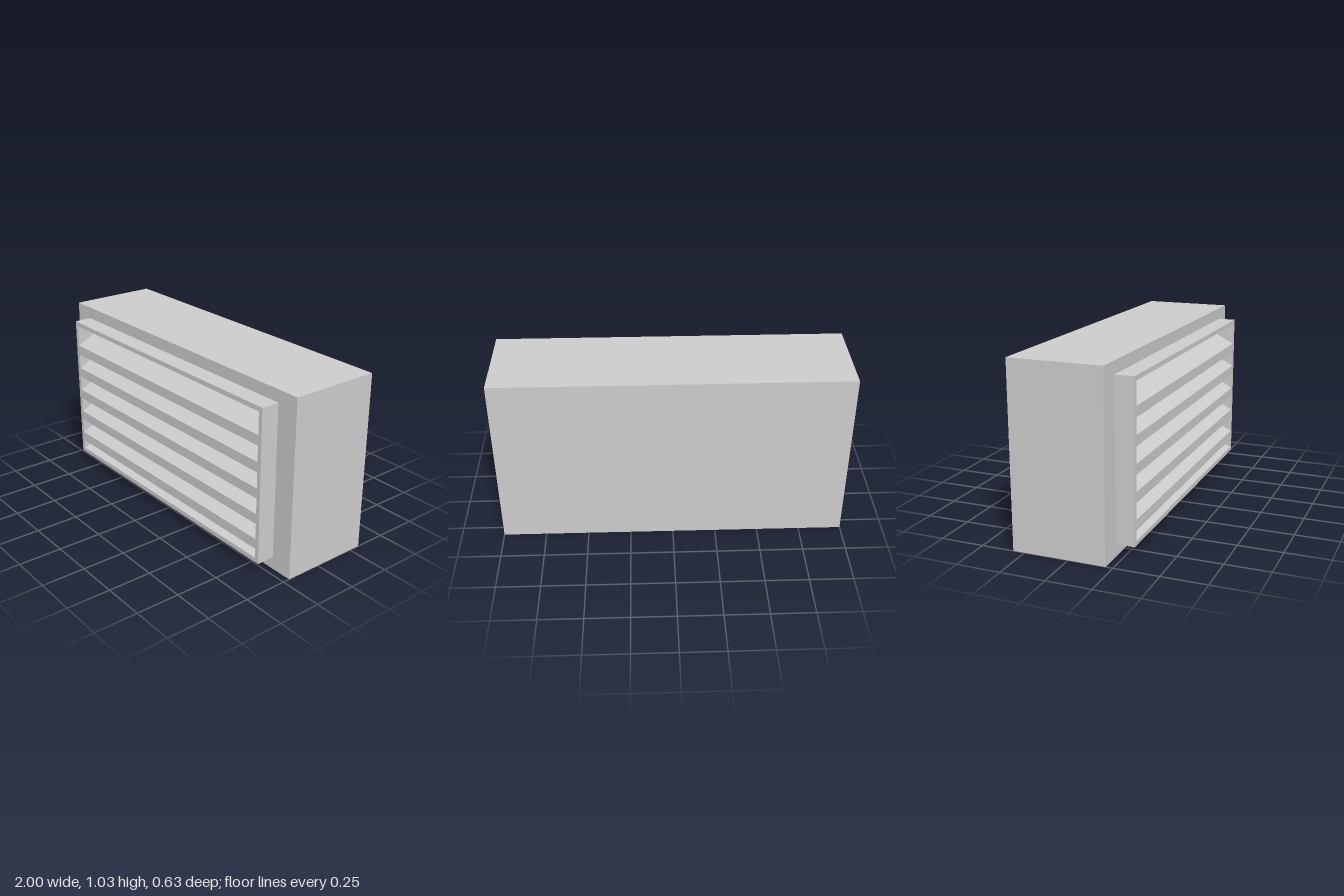
import * as THREE from 'three';

const FRONT = 0.315, CASE_FRONT = 0.21, RECESS = 0.145, BACK = -0.315;
const OPEN = { w: 1.69, y0: 0.097, y1: 0.933 };

function addRect(path, w, y0, y1) {
  path.moveTo(-w / 2, y0);
  path.lineTo(w / 2, y0);
  path.lineTo(w / 2, y1);
  path.lineTo(-w / 2, y1);
  path.closePath();
  return path;
}

export function createModel() {
  const group = new THREE.Group();
  const material = new THREE.MeshStandardMaterial({ color: 0xcccccc, flatShading: true });

  const add = (name, geometry) => {
    const mesh = new THREE.Mesh(geometry, material);
    mesh.name = name;
    group.add(mesh);
    return mesh;
  };

  // Rectangular frame around the louver opening, between two depths
  const addFrame = (name, w, y0, y1, z0, z1) => {
    const shape = addRect(new THREE.Shape(), w, y0, y1);
    shape.holes.push(addRect(new THREE.Path(), OPEN.w, OPEN.y0, OPEN.y1));
    const geometry = new THREE.ExtrudeGeometry(shape, { depth: z1 - z0, bevelEnabled: false });
    add(name, geometry.translate(0, 0, z0));
  };

  // Side profile of [z, y] points, swept across the opening
  const addSlat = (name, points) => {
    const shape = new THREE.Shape(points.map(([z, y]) => new THREE.Vector2(-z, y)));
    const geometry = new THREE.ExtrudeGeometry(shape, { depth: OPEN.w, bevelEnabled: false });
    add(name, geometry.rotateY(Math.PI / 2).translate(-OPEN.w / 2, 0, 0));
  };

  // Casing: solid rear block and a front rim around the recess
  add('casingBlock', new THREE.BoxGeometry(2, 1.03, RECESS - BACK)
    .translate(0, 0.515, (RECESS + BACK) / 2));
  addFrame('casingRim', 2, 0, 1.03, RECESS, CASE_FRONT);

  // Raised grille frame
  addFrame('grilleFrame', 1.74, 0.07, 0.96, CASE_FRONT, FRONT);

  // Shallow sloping sill at the bottom of the opening
  addSlat('sill', [[FRONT, OPEN.y0], [RECESS, OPEN.y0], [RECESS, 0.152]]);

  // Five louvers rising towards the back
  const pitch = 0.149, thickness = 0.058, rise = 0.088;
  for (let i = 0; i < 5; i++) {
    const y = 0.152 + i * pitch;
    addSlat('louver' + (i + 1), [
      [FRONT, y], [RECESS, y + rise],
      [RECESS, y + thickness + rise], [FRONT, y + thickness],
    ]);
  }

  return group;
}
